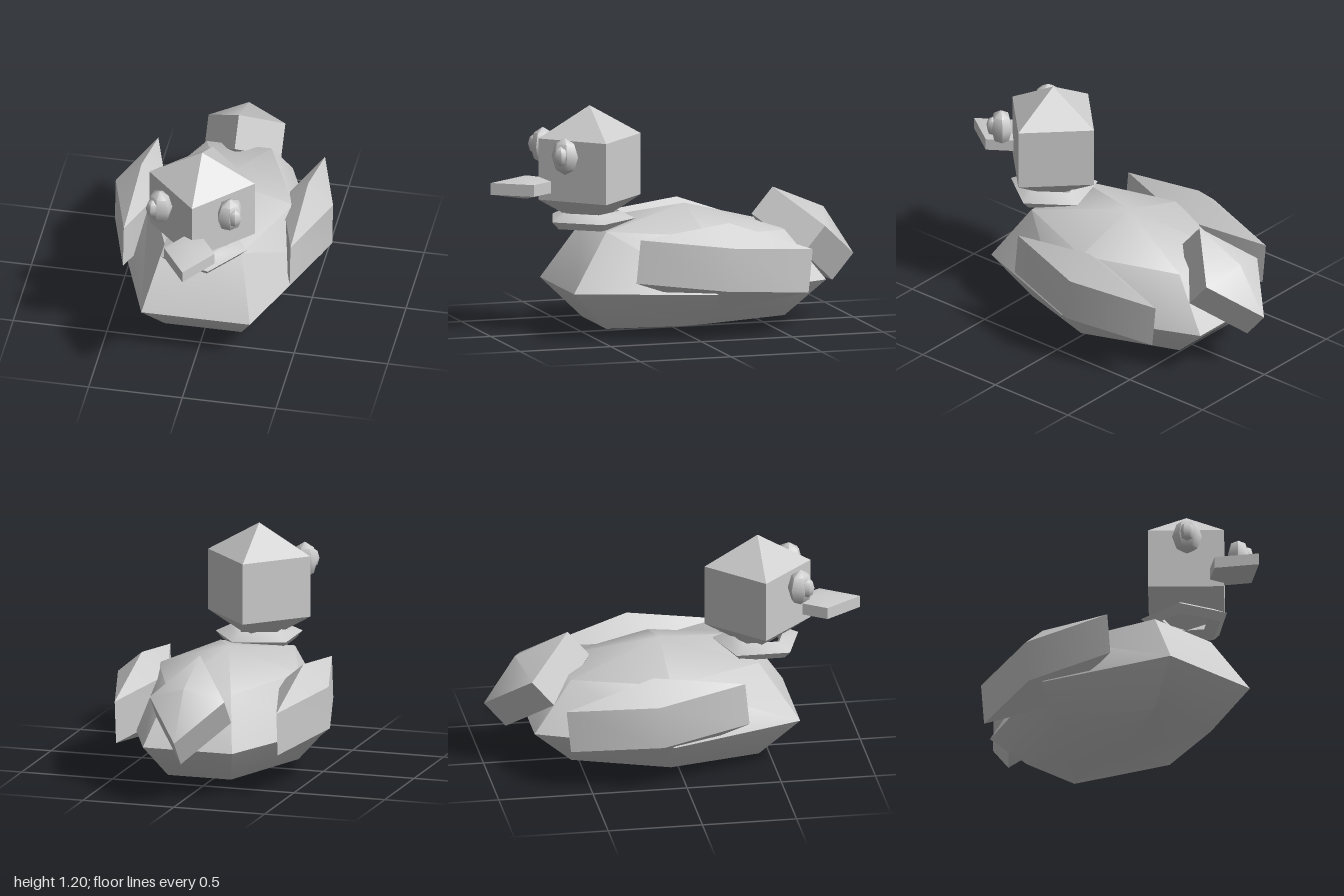
import * as THREE from 'three';
import { toCreasedNormals } from 'three/addons/utils/BufferGeometryUtils.js';

const grey = new THREE.MeshStandardMaterial({ color: 0xcccccc });
grey.name = 'plain grey';

// Coarse ellipsoid with poles up and down, hard edges where it folds sharply
function blob(name, [w, h], radii, position, rotation = [0, 0, 0], reshape) {
  const geo = new THREE.SphereGeometry(1, w, h);
  if (reshape) {
    const p = geo.attributes.position;
    const v = new THREE.Vector3();
    for (let i = 0; i < p.count; i++) {
      reshape(v.fromBufferAttribute(p, i));
      p.setXYZ(i, v.x, v.y, v.z);
    }
  }
  geo.scale(...radii);
  const mesh = new THREE.Mesh(toCreasedNormals(geo, 0.8), grey);
  mesh.name = name;
  mesh.position.set(...position);
  mesh.rotation.set(...rotation);
  return mesh;
}

// Flatter belly, fuller breast, narrower rear
function shapeBody(v) {
  const ring = Math.abs(v.y) > 0.1 && Math.abs(v.y) < 0.9;
  v.x *= v.z > 0.1 ? 1.065 : v.z < -0.1 ? 0.9 : 1;
  if (ring && v.y > 0) v.y += 0.088 * v.z;
  if (ring && v.y < 0 && v.z > 0.1) v.y -= 0.12;
  if (ring && v.y < 0 && v.z < -0.1) v.y -= 0.05;
  if (v.y < 0) v.y *= 0.62;
}

export function createModel() {
  const duck = new THREE.Group();
  duck.name = 'duck';

  duck.add(
    blob('body', [6, 4], [0.545, 0.405, 0.81], [0, 0.255, -0.067], [0, 0, 0], shapeBody),
    blob('head', [4, 3], [0.325, 0.325, 0.325], [0, 0.88, 0.455]),
    blob('beak', [4, 3], [0.156, 0.0625, 0.225], [0, 0.788, 0.805]),
    blob('tail', [4, 3], [0.237, 0.18, 0.336], [0, 0.464, -0.7175], [-0.7, 0, 0])
  );

  // Five-sided collar under the head
  const section = [[0.13, 0.605], [0.2, 0.565], [0.24, 0.605], [0.16, 0.645], [0.13, 0.605]]
    .map(([r, y]) => new THREE.Vector2(r, y));
  const ring = new THREE.LatheGeometry(section, 5, Math.PI / 2);
  const collar = new THREE.Mesh(toCreasedNormals(ring, 0.8), grey);
  collar.name = 'collar';
  collar.position.z = 0.455;
  duck.add(collar);

  // Mirrored wings and eyes
  for (const [side, s] of [['left', 1], ['right', -1]]) {
    duck.add(
      blob(side + 'Wing', [4, 3], [0.156, 0.23, 0.55], [0.445 * s, 0.388, -0.145], [-0.1, 0, 0]),
      blob(side + 'Eye', [6, 4], [0.078, 0.098, 0.062], [0.188 * s, 0.972, 0.652], [0, s * Math.PI / 4, 0]),
      blob(side + 'Pupil', [6, 4], [0.04, 0.053, 0.034], [0.22 * s, 0.978, 0.686], [0, s * Math.PI / 4, 0])
    );
  }
  return duck;
}
